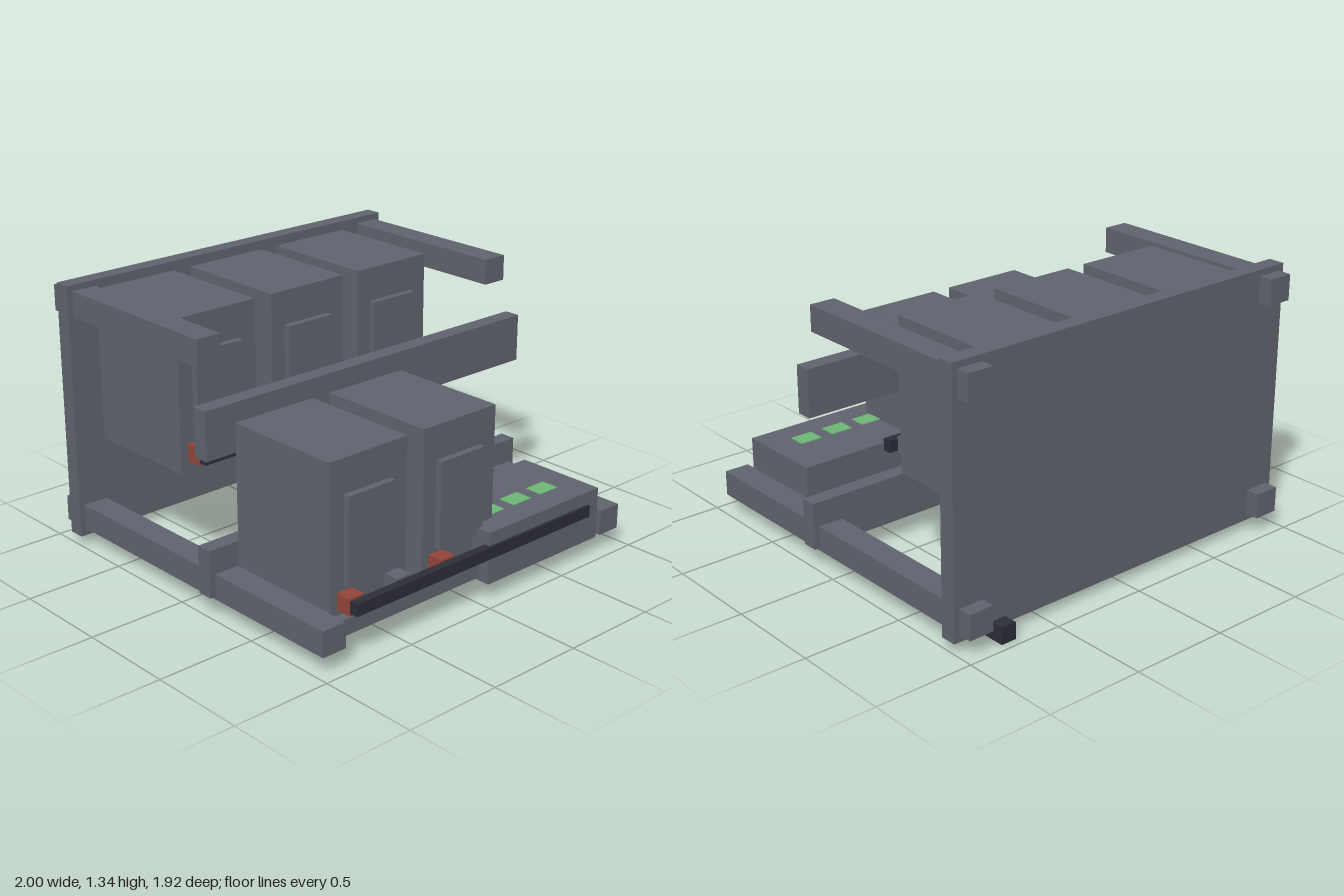
import * as THREE from 'three';

export function createModel() {
  const model = new THREE.Group();
  const mat = (name, color) => {
    const m = new THREE.MeshStandardMaterial({ color });
    m.name = name;
    return m;
  };
  const steel = mat('steel grey', 0x60636d);
  const dark = mat('dark rail', 0x2c2d36);
  const red = mat('red terminal', 0x934439);
  const green = mat('green indicator', 0x6db574);

  // Box given by its minimum and maximum on each axis
  const box = (name, material, x0, x1, y0, y1, z0, z1, parent = model) => {
    const mesh = new THREE.Mesh(new THREE.BoxGeometry(x1 - x0, y1 - y0, z1 - z0), material);
    mesh.position.set((x0 + x1) / 2, (y0 + y1) / 2, (z0 + z1) / 2);
    mesh.name = name;
    parent.add(mesh);
  };

  // Frame: back plate, side beams and cross members
  box('backPlate', steel, -1, 1, 0.05, 1.335, -0.89, -0.807);
  for (const [side, x] of [['right', -0.97], ['left', 0.84]]) {
    box(side + 'LowerBeam', steel, x, x + 0.13, 0.085, 0.212, -0.96, 0.943);
    box(side + 'UpperBeam', steel, x, x + 0.13, 1.176, 1.304, -0.96, 0.135);
  }
  box('upperCrossMember', steel, -1, 1, 0.765, 1.003, 0.135, 0.217);
  box('lowerCrossMember', steel, -1, 1, 0.1, 0.335, 0.135, 0.217);
  box('frontCrossBar', steel, -0.84, 0.84, 0.1, 0.18, 0.8, 0.883);

  // Battery-like cabinet with raised door and two terminals
  const cabinet = (name, x, y0, y1, z0, z1, doorY, tabY) => {
    const g = new THREE.Group();
    g.name = name;
    box('cabinetBody', steel, x, x + 0.455, y0, y1, z0, z1, g);
    box('door', steel, x + 0.08, x + 0.355, doorY, doorY + 0.427, z1, z1 + 0.034, g);
    box('redTerminal', red, x + 0.043, x + 0.128, tabY, tabY + 0.083, z1, z1 + 0.08, g);
    box('greyTerminal', steel, x + 0.326, x + 0.411, tabY, tabY + 0.083, z1, z1 + 0.08, g);
    model.add(g);
  };
  const columns = [-0.834, -0.278, 0.277];
  columns.forEach((x, i) => {
    cabinet('rearCabinet' + (i + 1), x, 0.53, 1.288, -0.807, -0.19, 0.692, 0.588);
    if (i < 2) cabinet('frontCabinet' + (i + 1), x, 0.18, 0.908, 0.217, 0.833, 0.314, 0.207);
  });

  // Dark rails joining the terminals, and the long rail underneath
  box('rearRail', dark, -0.787, 0.735, 0.6, 0.66, -0.11, -0.066);
  box('frontRail', dark, -0.787, 0.735, 0.22, 0.28, 0.913, 0.957);
  box('underRail', dark, 0.713, 0.793, 0, 0.085, -0.96, 0.468);

  // Control box with indicator plates
  box('controlBox', steel, 0.047, 0.807, 0.085, 0.346, 0.468, 0.943);
  for (let i = 0; i < 3; i++) {
    const x = 0.167 + i * 0.187;
    box('indicator' + (i + 1), green, x, x + 0.12, 0.344, 0.35, 0.718, 0.81);
  }
  return model;
}
